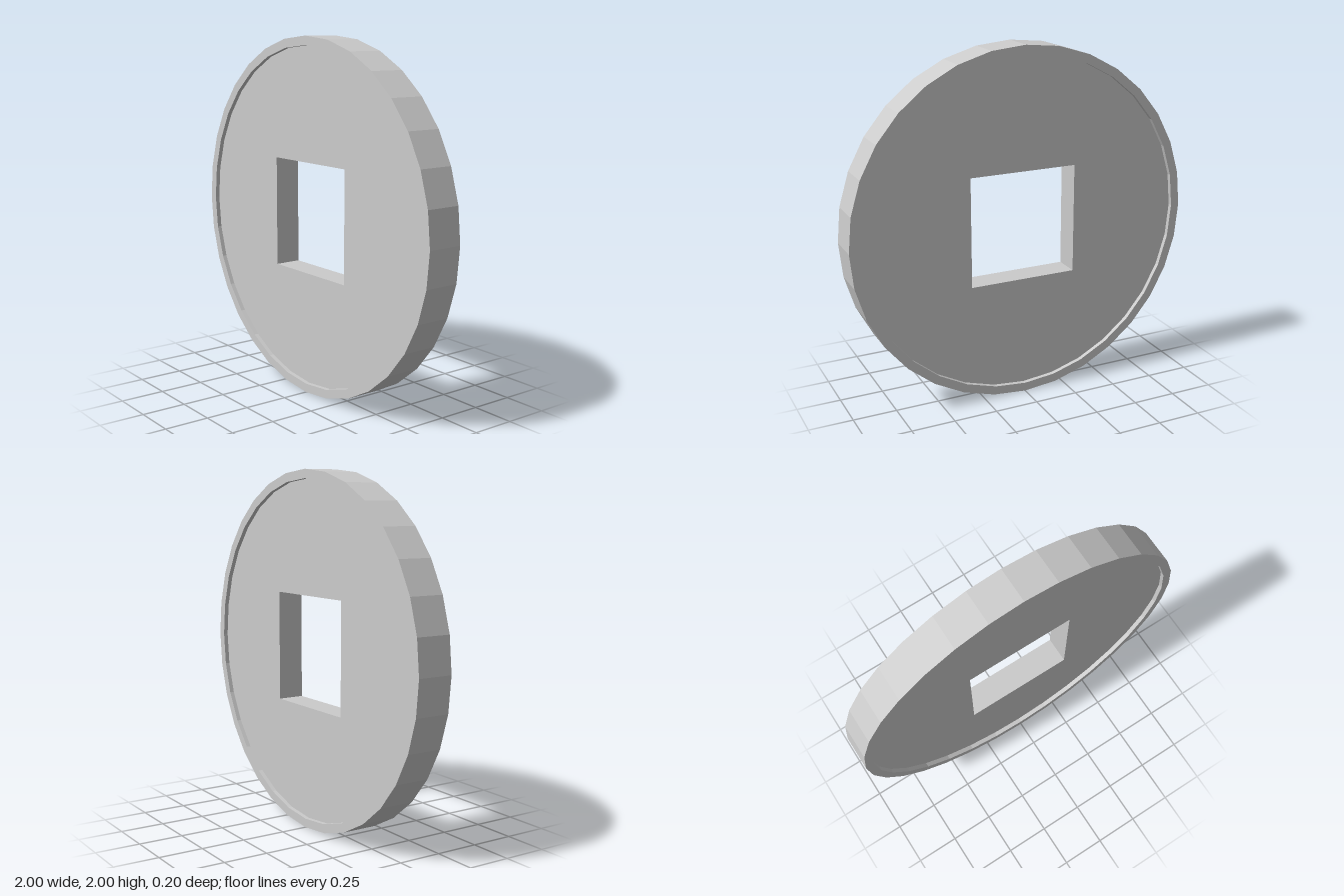
import * as THREE from 'three';
import { mergeGeometries } from 'three/addons/utils/BufferGeometryUtils.js';

const SIDES = 32;
const RADIUS = 1, INNER = 0.95;      // rim outer and inner radius
const RIM_Z = 0.1, FACE_Z = 0.075;   // half thickness of rim and recessed face
const HOLE = 0.3125;                 // half width of the square hole

export function createModel() {
  const group = new THREE.Group();
  group.name = 'coin';
  const material = new THREE.MeshStandardMaterial({ color: 0xcccccc, flatShading: true });
  const add = (name, geometry) => {
    const mesh = new THREE.Mesh(geometry, material);
    mesh.name = name;
    mesh.position.y = RADIUS;
    group.add(mesh);
  };

  // Raised rim: profile turned around the coin's axis
  const profile = [
    [INNER, -FACE_Z], [INNER, -RIM_Z], [RADIUS, -RIM_Z],
    [RADIUS, RIM_Z], [INNER, RIM_Z], [INNER, FACE_Z],
  ].map(([r, z]) => new THREE.Vector2(r, z));
  add('rim', new THREE.LatheGeometry(profile, SIDES).rotateX(Math.PI / 2));

  // Recessed faces with a square hole
  const disc = new THREE.Shape(Array.from({ length: SIDES }, (_, i) => {
    const a = (i / SIDES) * Math.PI * 2;
    return new THREE.Vector2(INNER * Math.cos(a), INNER * Math.sin(a));
  }));
  disc.holes.push(new THREE.Path([[-1, -1], [-1, 1], [1, 1], [1, -1]]
    .map(([x, y]) => new THREE.Vector2(x * HOLE, y * HOLE))));
  const face = new THREE.ShapeGeometry(disc).translate(0, 0, FACE_Z);
  add('frontFace', face);
  add('backFace', face.clone().rotateY(Math.PI));

  // Four walls lining the hole
  const walls = [0, 1, 2, 3].map((i) =>
    new THREE.PlaneGeometry(2 * HOLE, 2 * FACE_Z)
      .rotateX(-Math.PI / 2)
      .translate(0, -HOLE, 0)
      .rotateZ((i * Math.PI) / 2));
  add('holeWalls', mergeGeometries(walls));

  return group;
}
